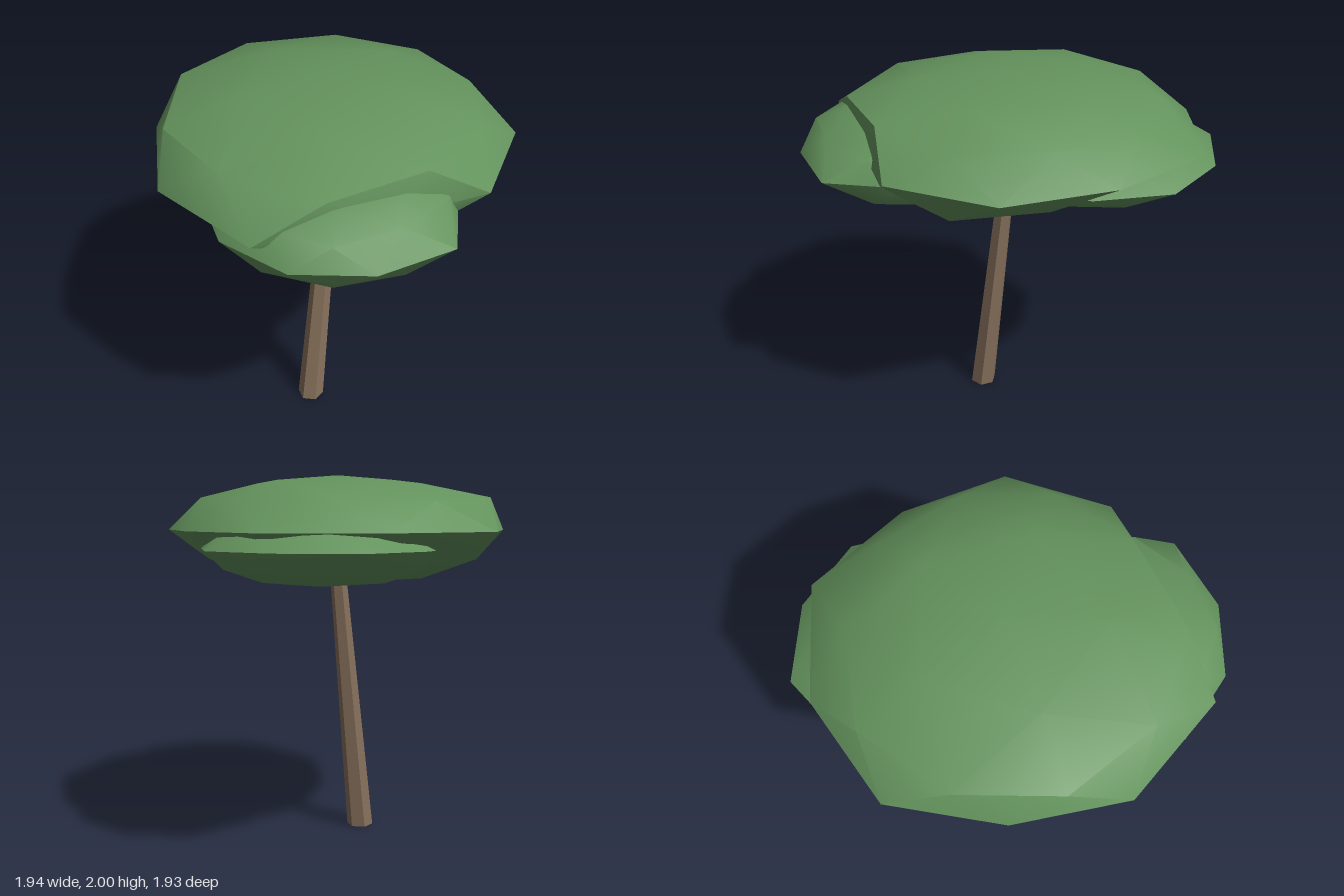
import * as THREE from 'three';
import { mergeVertices, toCreasedNormals } from 'three/addons/utils/BufferGeometryUtils.js';

const leafMaterial = new THREE.MeshStandardMaterial({ color: 0x64935d });
const barkMaterial = new THREE.MeshStandardMaterial({ color: 0x88715c });

// Flattened icosphere with a pole up. Each list holds ten radii, from +z towards +x:
// rim for the equator, upper and lower for the rings beside it; crown for the rings near the poles
function leafClump(name, [x, y, z], height, { rim, upper, lower, crown }) {
  let geo = new THREE.IcosahedronGeometry(1, 1);
  geo.deleteAttribute('uv');
  geo.deleteAttribute('normal');
  geo = mergeVertices(geo, 1e-3);
  geo.rotateZ(-Math.atan(2 / (1 + Math.sqrt(5))));
  const p = geo.attributes.position;
  for (let i = 0; i < p.count; i++) {
    const px = p.getX(i), py = p.getY(i), pz = p.getZ(i);
    const onRim = Math.abs(py) < 0.05;
    const turn = Math.atan2(px, pz) / (Math.PI / 5) + 10;
    let r = crown;
    if (onRim) r = rim[Math.round(turn) % 10];
    else if (Math.abs(py) < 0.7) r = (py > 0 ? upper : lower)[Math.floor(turn) % 10];
    const lift = onRim ? 0 : Math.sign(py) * Math.abs(py) ** 0.85;
    p.setXYZ(i, px * r, lift * height, pz * r);
  }
  const mesh = new THREE.Mesh(toCreasedNormals(geo, 0.7), leafMaterial);
  mesh.name = name;
  mesh.position.set(x, y, z);
  return mesh;
}

const even = (radius) => Array(10).fill(radius);

export function createModel() {
  const tree = new THREE.Group();
  tree.name = 'tree';

  // Leaning six-sided trunk, sheared so that its foot stays level
  const height = 1.6;
  const trunkGeo = new THREE.CylinderGeometry(0.042, 0.074, height, 6, 1, false, Math.PI / 6);
  trunkGeo.translate(0, height / 2, 0);
  const shear = new THREE.Matrix4().set(
    1, 0.22 / height, 0, -0.22,
    0, 1, 0, 0,
    0, 0, 1, 0.01,
    0, 0, 0, 1);
  trunkGeo.applyMatrix4(shear);
  const trunk = new THREE.Mesh(toCreasedNormals(trunkGeo, 0.5), barkMaterial);
  trunk.name = 'trunk';
  tree.add(trunk);

  // Canopy: one wide clump with two smaller ones tucked underneath
  const canopy = new THREE.Group();
  canopy.name = 'canopy';
  canopy.add(
    leafClump('mainClump', [0, 1.715, 0], 0.287, {
      rim: [0.91, 0.92, 0.885, 1.0, 0.966, 0.97, 0.886, 0.96, 1.02, 0.8],
      upper: [0.85, 0.86, 0.86, 0.88, 0.93, 0.97, 0.93, 0.96, 0.94, 0.89],
      lower: [0.91, 0.78, 0.75, 0.78, 0.85, 0.85, 0.85, 0.85, 0.88, 0.85],
      crown: 0.9,
    }),
    leafClump('frontRightClump', [-0.36, 1.64, 0.3], 0.22, {
      rim: [0.66, 0.57, 0.62, 0.64, 0.64, 0.64, 0.64, 0.62, 0.61, 0.61],
      upper: even(0.6), lower: even(0.6), crown: 0.64,
    }),
    leafClump('backLeftClump', [0.35, 1.63, -0.2], 0.19, {
      rim: [0.62, 0.62, 0.65, 0.64, 0.67, 0.62, 0.62, 0.62, 0.62, 0.62],
      upper: even(0.57), lower: even(0.57), crown: 0.6,
    }));
  tree.add(canopy);
  return tree;
}
